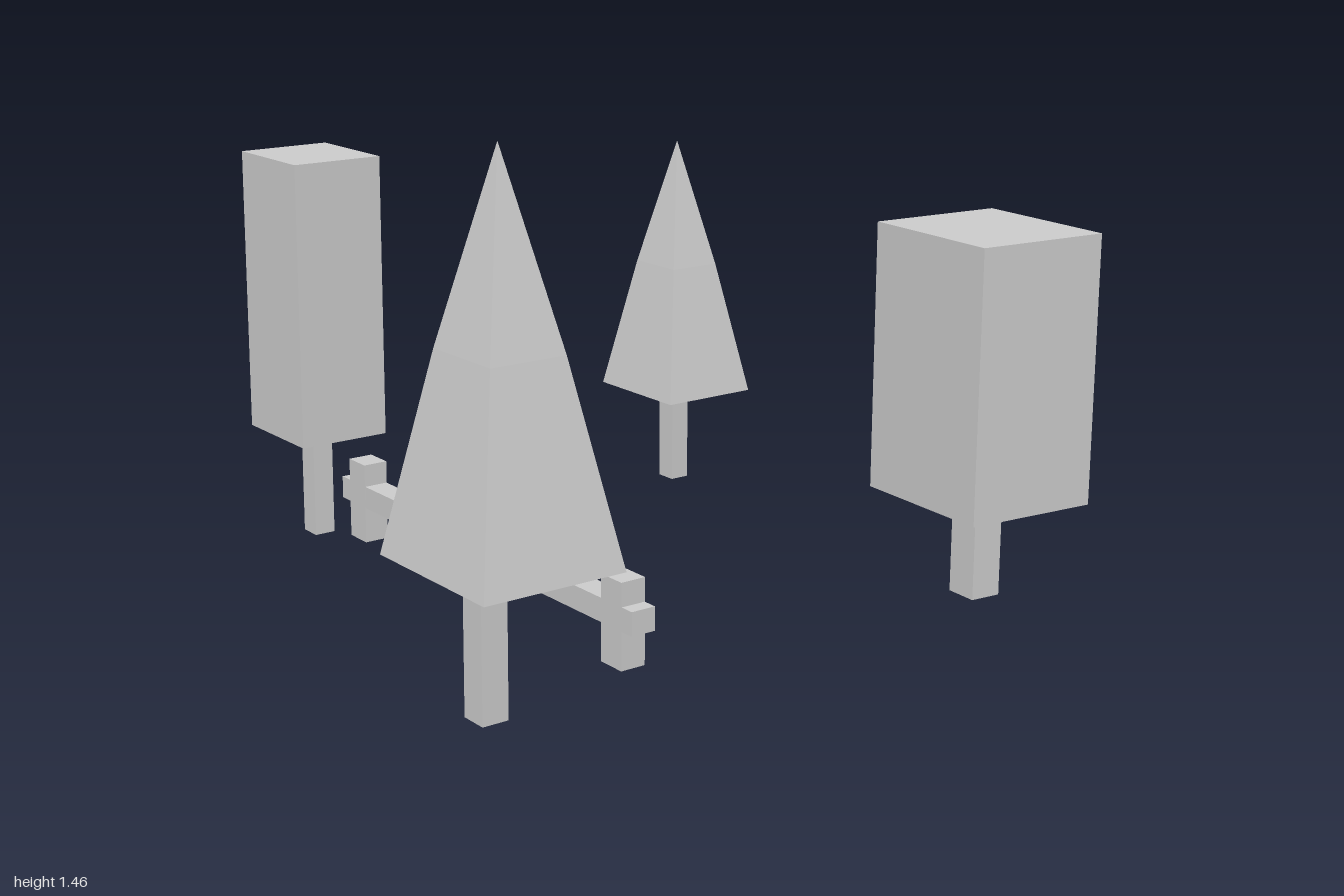
import * as THREE from 'three';

const material = new THREE.MeshStandardMaterial({
  color: 0xcccccc, flatShading: true, side: THREE.DoubleSide,
});

// Box given by its ranges on x, y and z; optionally without its bottom face
function box(name, [x0, x1], [y0, y1], [z0, z1], openBottom = true) {
  const geo = new THREE.BoxGeometry(x1 - x0, y1 - y0, z1 - z0);
  if (openBottom) {
    const index = Array.from(geo.index.array);
    index.splice(18, 6); // the six indices of the -y face
    geo.setIndex(index);
    geo.clearGroups();
  }
  const mesh = new THREE.Mesh(geo, material);
  mesh.name = name;
  mesh.position.set((x0 + x1) / 2, (y0 + y1) / 2, (z0 + z1) / 2);
  return mesh;
}

// Four-sided crown with a slight bulge at mid height and a closed base
function pyramidCrown(halfX, halfZ, base, mid, top) {
  const r = Math.SQRT2;
  const profile = [[0, base], [r, base], [r * 0.53, mid], [0, top]]
    .map(([x, y]) => new THREE.Vector2(x, y));
  const geo = new THREE.LatheGeometry(profile, 4, Math.PI / 4)
    .scale(halfX, 1, halfZ).toNonIndexed();
  geo.computeVertexNormals();
  const mesh = new THREE.Mesh(geo, material);
  mesh.name = 'pyramidCrown';
  return mesh;
}

function named(name, ...children) {
  const group = new THREE.Group();
  group.name = name;
  group.add(...children);
  return group;
}

export function createModel() {
  const model = new THREE.Group();
  model.name = 'treesAndFence';

  // Large pointed tree, front left
  const frontCrown = pyramidCrown(0.236, 0.209, 0.40, 0.94, 1.455);
  frontCrown.position.set(0.636, 0, 0.771);
  model.add(named('frontPointedTree', frontCrown,
    box('trunk', [0.595, 0.677], [0, 0.45], [0.783, 0.861])));

  // Small pointed tree, back right
  const backCrown = pyramidCrown(0.184, 0.163, 0.32, 0.742, 1.145);
  backCrown.position.set(-0.706, 0, -0.822);
  model.add(named('backPointedTree', backCrown,
    box('trunk', [-0.743, -0.674], [0.01, 0.36], [-0.85, -0.786])));

  // Narrow block tree, front right: crown open underneath
  model.add(named('frontBlockTree',
    box('blockCrown', [-1, -0.678], [0.355, 1.205], [0.316, 0.6]),
    box('trunk', [-0.877, -0.807], [0.03, 0.46], [0.43, 0.495])));

  // Wide block tree, back left: turned a little, then stretched along x
  const turned = named('turnedTree',
    box('blockCrown', [-0.186, 0.186], [0.32, 1.09], [-0.203, 0.203]),
    box('trunk', [-0.041, 0.041], [0.03, 0.42], [-0.047, 0.047]));
  turned.rotation.y = -0.0865;
  const backBlockTree = named('backBlockTree', turned);
  backBlockTree.scale.x = 1.2;
  backBlockTree.position.set(0.754, 0, -0.766);
  model.add(backBlockTree);

  // Fence: one rail and three posts
  const fence = named('fence',
    box('rail', [-0.58, 0.845], [0.215, 0.28], [0.453, 0.525], false));
  for (const x of [-0.492, 0.132, 0.76]) {
    fence.add(box('fencePost', [x - 0.043, x + 0.043], [0.11, 0.345], [0.452, 0.526]));
  }
  model.add(fence);

  return model;
}
